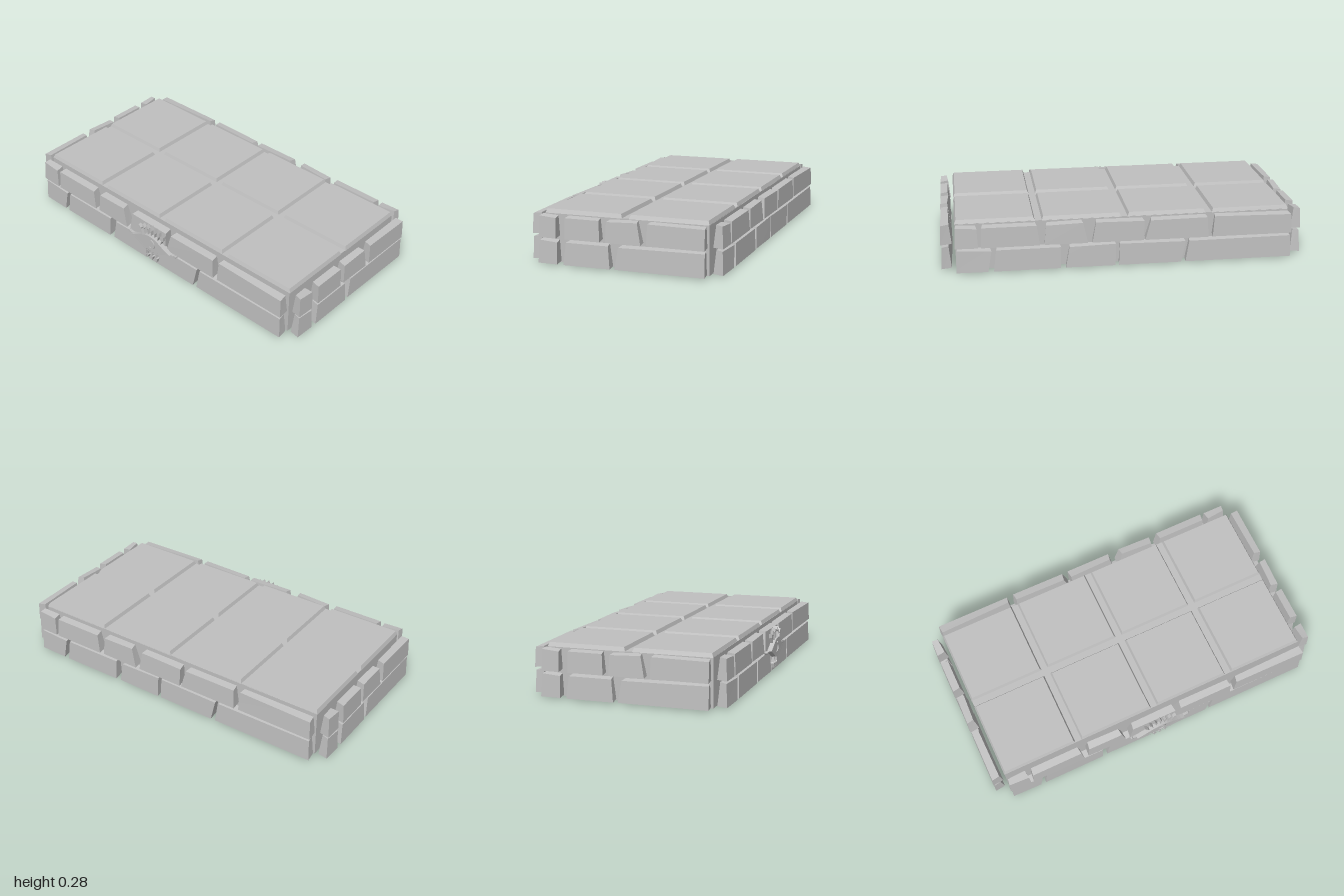
import * as THREE from 'three';

const stone = new THREE.MeshStandardMaterial({ color: 0xc0c0c0 });
stone.name = 'grey stone';

function add(parent, geometry, name) {
  const mesh = new THREE.Mesh(geometry, stone);
  mesh.name = name;
  parent.add(mesh);
  return mesh;
}

// Box whose eight corners are placed by rule(sx, sy, sz), each sign being -1 or 1
function block(rule) {
  const g = new THREE.BoxGeometry(2, 2, 2);
  const p = g.attributes.position;
  for (let i = 0; i < p.count; i++) p.setXYZ(i, ...rule(p.getX(i), p.getY(i), p.getZ(i)));
  g.computeVertexNormals();
  return g;
}

// Row entries: [left at top, right at top, left at bottom, right at bottom]
const longUpper = [
  [-0.92, -0.805, -0.925, -0.80], [-0.78, -0.485, -0.785, -0.47], [-0.435, -0.235, -0.445, -0.21],
  [-0.165, 0.10, -0.185, 0.095], [0.135, 0.45, 0.105, 0.455], [0.49, 0.92, 0.48, 0.925],
];
const longLower = [
  [-0.915, -0.73, -0.92, -0.75], [-0.705, -0.355, -0.72, -0.36], [-0.31, -0.055, -0.33, -0.06],
  [-0.035, 0.33, -0.04, 0.305], [0.35, 0.92, 0.33, 0.925],
];
// Short rows run along x before being turned, so x stands for -z
const shortUpper = [
  [-0.44, -0.345, -0.445, -0.345], [-0.295, -0.105, -0.295, -0.10],
  [-0.065, 0.105, -0.07, 0.125], [0.16, 0.465, 0.155, 0.465],
];
const shortLower = [
  [-0.44, -0.34, -0.45, -0.34], [-0.29, -0.055, -0.305, -0.045], [0, 0.465, -0.02, 0.465],
];

// One course of tapered wall bricks facing +z, with the outer face at z = 0
function course(parent, rows, y0, y1, depth, name) {
  rows.forEach(([lt, rt, lb, rb], i) => {
    const wob = ((i * 7) % 5 - 2) * 0.0018;
    add(parent, block((sx, sy, sz) => {
      const left = sx < 0, top = sy > 0, front = sz > 0;
      let x = top ? (left ? lt : rt) : (left ? lb : rb);
      if (!front) x -= sx * 0.006;
      const y = top ? y1 - (front ? 0.006 : 0) + sx * wob : y0 + (front ? 0 : 0.004);
      const z = front ? (top ? -0.005 : 0) - (left ? Math.abs(wob) : 0) : -depth + (top ? 0.013 : 0) + sx * wob;
      return [x, y, z];
    }), name);
  });
}

function wall(upper, lower, depth, name) {
  const g = new THREE.Group();
  g.name = name;
  course(g, upper, 0.145, 0.262, depth, 'upperBrick');
  course(g, lower, 0.008, 0.133, depth, 'lowerBrick');
  return g;
}

// Almond outline
function almond(w, h) {
  const s = new THREE.Shape();
  s.moveTo(-w, 0);
  s.bezierCurveTo(-w * 0.55, h * 0.35, -w * 0.4, h, 0, h);
  s.bezierCurveTo(w * 0.4, h, w * 0.55, h * 0.35, w, 0);
  s.bezierCurveTo(w * 0.55, -h * 0.35, w * 0.4, -h, 0, -h);
  s.bezierCurveTo(-w * 0.4, -h, -w * 0.55, -h * 0.35, -w, 0);
  return s;
}

const plate = (shape, depth) =>
  new THREE.ExtrudeGeometry(shape, { depth, bevelEnabled: false, curveSegments: 8 });

// Carved eye with lashes
function carvedEye() {
  const eye = new THREE.Group();
  eye.name = 'carvedEye';
  eye.position.set(0, 0.143, 0.508);
  add(eye, plate(almond(0.14, 0.052), 0.026), 'eyePlate');

  const rim = almond(0.15, 0.056);
  rim.holes.push(almond(0.136, 0.049));
  add(eye, plate(rim, 0.032), 'eyeRim');

  const crescent = new THREE.Shape();
  crescent.absarc(0, 0, 0.032, -1.9, 1.5, false);
  crescent.absarc(-0.004, 0, 0.024, 1.4, -1.8, true);
  add(eye, plate(crescent, 0.031), 'iris');

  // Curled corners
  for (const s of [-1, 1]) {
    const tail = add(eye, new THREE.BoxGeometry(0.05, 0.006, 0.02), 'eyeCorner');
    tail.position.set(s * 0.155, -0.003, 0.01);
    const bead = add(eye, new THREE.CylinderGeometry(0.008, 0.008, 0.02, 8), 'cornerBead');
    bead.rotation.x = Math.PI / 2;
    bead.position.set(s * 0.178, -0.003, 0.01);
  }

  // Lashes: thin stalks with a broader tip
  const lash = new THREE.Shape();
  [[-0.002, 0], [0.002, 0], [0.003, 0.03], [0.009, 0.036], [0, 0.06], [-0.009, 0.036], [-0.003, 0.03]]
    .forEach(([x, y], i) => (i ? lash.lineTo(x, y) : lash.moveTo(x, y)));
  const lashGeo = plate(lash, 0.022);
  for (let i = -3; i <= 3; i++) {
    const m = add(eye, lashGeo, 'upperLash');
    m.position.set(i * 0.024, 0.057 - i * i * 0.0025, 0);
    m.rotation.z = -i * 0.14;
  }
  for (let i = -1; i <= 1; i++) {
    const m = add(eye, lashGeo, 'lowerLash');
    m.position.set(i * 0.03, -0.056, 0);
    m.rotation.z = Math.PI + i * 0.1;
  }
  return eye;
}

export function createModel() {
  const model = new THREE.Group();
  model.name = 'stonePlatform';
  const midZ = -0.012;

  // Solid core
  const core = add(model, new THREE.BoxGeometry(1.84, 0.262, 0.905), 'core');
  core.position.set(0, 0.131, midZ);

  // Eight bevelled paving slabs
  for (let c = 0; c < 4; c++) {
    for (let r = 0; r < 2; r++) {
      const cx = -0.705 + c * 0.47, cz = r ? 0.223 : -0.248;
      add(model, block((sx, sy, sz) => {
        const inset = sy > 0 ? 0.009 : 0;
        return [cx + sx * (0.217 - inset), sy > 0 ? 0.282 : 0.26, cz + sz * (0.217 - inset)];
      }), 'pavingSlab');
    }
  }

  // Brick walls: the back and left repeat the front and right, turned half round
  for (const turn of [0, Math.PI]) {
    const long = wall(longUpper, longLower, 0.06, turn ? 'backWall' : 'frontWall');
    long.rotation.y = turn;
    long.position.z = midZ + (turn ? -0.528 : 0.528);
    model.add(long);

    const short = wall(shortUpper, shortLower, 0.06, turn ? 'leftWall' : 'rightWall');
    short.rotation.y = Math.PI / 2 + turn;
    short.position.set(turn ? -1 : 1, 0, turn ? -0.024 : 0);
    model.add(short);
  }

  model.add(carvedEye());
  return model;
}
